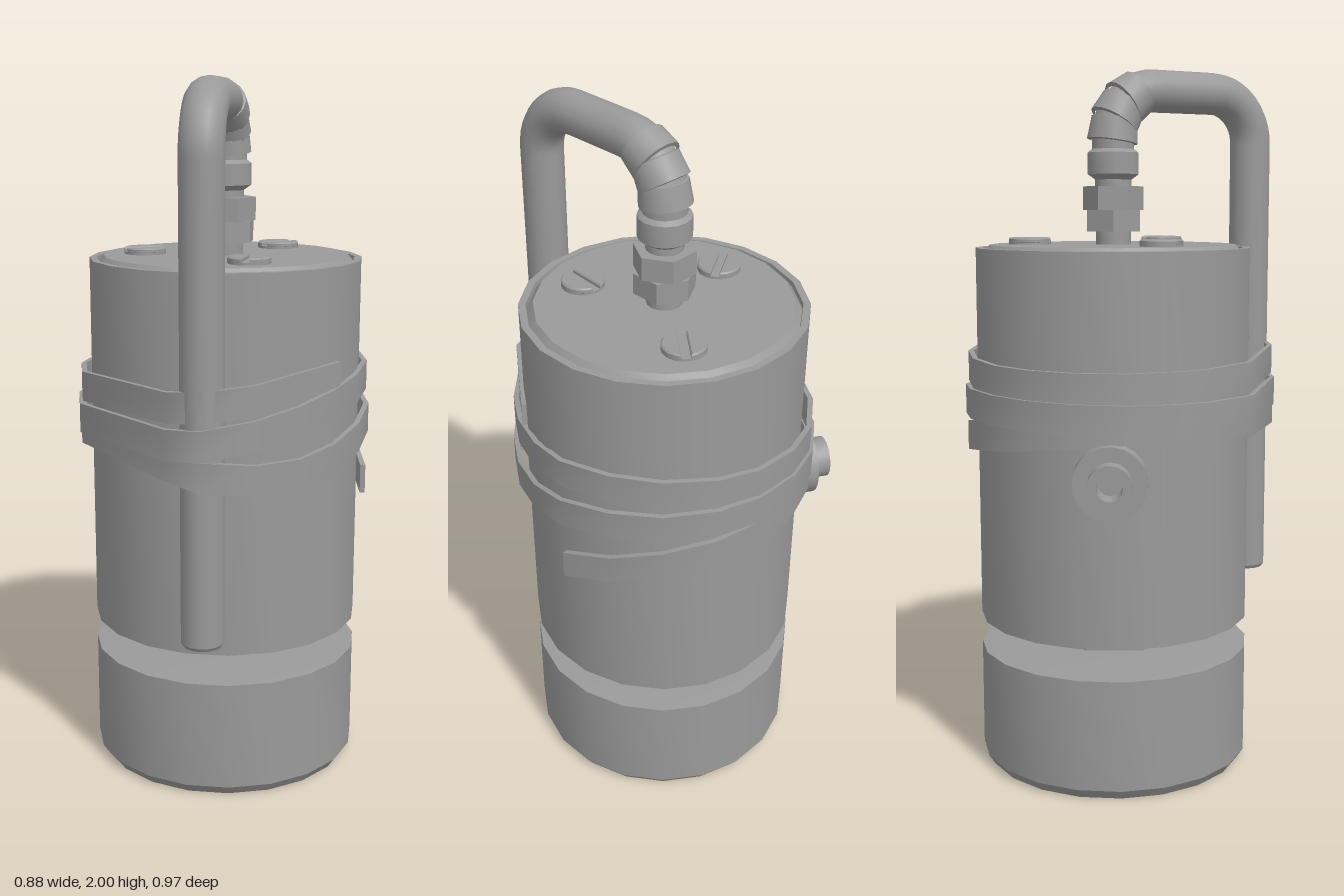
import * as THREE from 'three';
import { toCreasedNormals } from 'three/addons/utils/BufferGeometryUtils.js';

const CX = 0.017, CZ = -0.06; // axis of the canister
const smooth = new THREE.MeshStandardMaterial({ color: 0x9a9a9a });
const faceted = new THREE.MeshStandardMaterial({ color: 0x9a9a9a, flatShading: true });

function add(parent, name, geometry, material = smooth) {
  const mesh = new THREE.Mesh(geometry, material);
  mesh.name = name;
  parent.add(mesh);
  return mesh;
}

// Turned part from [radius, height] pairs listed bottom to top
function turned(profile, sides) {
  const points = profile.map(([r, y]) => new THREE.Vector2(r, y));
  return toCreasedNormals(new THREE.LatheGeometry(points, sides), 0.5);
}

// Large 20-sided turned part with flats facing front, back and sides
function turnedDrum(profile) {
  return turned(profile, 20).rotateY(Math.PI / 20);
}

// Slotted screw: a low disc carrying two raised, bevelled circle segments
function makeScrew(x, z, angle) {
  const screw = new THREE.Group();
  screw.name = 'screw';
  const r = 0.06, a = Math.asin(0.2), bevel = 0.004;
  add(screw, 'screwBase', turned([[r, 0], [r, 0.008], [0, 0.008]], 24));
  const half = new THREE.Shape();
  half.absarc(0, 0, r, a, Math.PI - a, false);
  half.closePath();
  const geo = new THREE.ExtrudeGeometry(half, {
    depth: 0.008, curveSegments: 12, bevelSize: bevel, bevelThickness: bevel, bevelOffset: -bevel, bevelSegments: 1,
  });
  geo.rotateX(-Math.PI / 2).translate(0, 0.008, 0);
  for (const turn of [0, Math.PI]) add(screw, 'screwHeadHalf', geo).rotation.y = turn;
  screw.position.set(x, 1.507, z);
  screw.rotation.y = angle;
  return screw;
}

// Flat strap wound almost three times around canister and pipe
function strapGeometry() {
  const loop = [
    [0.02, 0.485], [-0.08, 0.445], [-0.37, 0.16], [-0.41, 0], [-0.407, -0.09], [-0.37, -0.24],
    [-0.29, -0.36], [-0.18, -0.445], [-0.06, -0.485], [0.08, -0.485], [0.2, -0.445], [0.32, -0.355],
    [0.4, -0.23], [0.437, -0.08], [0.415, 0.05], [0.355, 0.19], [0.27, 0.31], [0.16, 0.42],
  ];
  const n = loop.length;
  // Heights of the strap's centre line at steps along the winding
  const steps = [-3, 0, 3, 8, 12, 18, 21, 30, 34, 36, 39, 44, 47, 49];
  const heights = [1.198, 1.17, 1.147, 1.15, 1.172, 1.07, 1.06, 1.055, 0.96, 0.985, 1.045, 1.0, 0.935, 0.845];
  const centreLine = new THREE.CubicInterpolant(steps, heights, 1, new Float32Array(1));
  const pos = [], index = [];
  let rings = 0;
  for (let s = -3; s <= 49; s++) {
    if (s === -2) continue; // the free end runs straight to the pipe
    const [x, z] = s === -3 ? [0.371, 0.148] : loop[(s + n) % n];
    const layer = [0.98, 1, 0.99][Math.max(0, Math.floor(s / n))];
    const dx = (x - CX) * layer, dz = (z + 0.03) * layer;
    const inner = 1 - 0.015 / Math.hypot(dx, dz);
    const y = centreLine.evaluate(s)[0];
    for (const [f, h] of [[1, 0.042], [1, -0.042], [inner, -0.042], [inner, 0.042]]) {
      pos.push(CX + dx * f, y + h, dz * f - 0.03);
    }
    rings++;
  }
  for (let i = 0; i < rings - 1; i++) {
    for (let k = 0; k < 4; k++) {
      const a = i * 4 + k, b = i * 4 + (k + 1) % 4;
      index.push(a, a + 4, b + 4, a, b + 4, b);
    }
  }
  const e = (rings - 1) * 4;
  index.push(0, 1, 2, 0, 2, 3, e, e + 2, e + 1, e, e + 3, e + 2);
  const geo = new THREE.BufferGeometry();
  geo.setAttribute('position', new THREE.Float32BufferAttribute(pos, 3));
  geo.setIndex(index);
  return toCreasedNormals(geo, 0.9);
}

// Hooked pipe: down into the fitting at the rear, down the front at the other end
function pipePath() {
  const v = (y, z) => new THREE.Vector3(CX, y, z);
  const k = 0.55, front = 0.413, top = 1.94, R = 0.14, r = 0.13;
  const path = new THREE.CurvePath();
  path.add(new THREE.LineCurve3(v(0.51, front), v(top - R, front)));
  path.add(new THREE.CubicBezierCurve3(v(top - R, front), v(top - R + k * R, front),
    v(top, front - R + k * R), v(top, front - R)));
  path.add(new THREE.LineCurve3(v(top, front - R), v(top, CZ + r)));
  path.add(new THREE.CubicBezierCurve3(v(top, CZ + r), v(top, CZ + r - k * r),
    v(top - r + k * r, CZ), v(top - r, CZ)));
  path.add(new THREE.LineCurve3(v(top - r, CZ), v(1.7, CZ)));
  return path;
}

export function createModel() {
  const model = new THREE.Group();
  model.name = 'canister';

  // Canister, base and the hexagonal neck between them
  const barrel = new THREE.Group();
  barrel.name = 'barrel';
  barrel.position.set(CX, 0, CZ);
  model.add(barrel);
  add(barrel, 'base', turnedDrum([[0, 0], [0.373, 0], [0.392, 0.028], [0.392, 0.342], [0.31, 0.348], [0, 0.348]]));
  add(barrel, 'neck', new THREE.CylinderGeometry(0.167, 0.167, 0.1, 6).rotateY(Math.PI / 2).translate(0, 0.39, 0), faceted);
  // The rim drops into a shallow groove around the bevelled lid
  add(barrel, 'body', turnedDrum([[0, 0.433], [0.392, 0.433], [0.392, 1.5], [0.372, 1.5], [0.37, 1.485],
    [0.352, 1.508], [0, 1.508]]));

  // Lid screws
  model.add(makeScrew(0.15, -0.26, 0.87), makeScrew(-0.215, -0.043, 0.55), makeScrew(0.11, 0.16, 1.5));

  // Threaded fitting with two nuts turned against each other
  const fitting = new THREE.Group();
  fitting.name = 'fitting';
  fitting.position.set(CX, 0, CZ);
  model.add(fitting);
  add(fitting, 'stem', turned([[0.05, 1.5], [0.05, 1.56]], 16));
  add(fitting, 'lowerNut', new THREE.CylinderGeometry(0.086, 0.086, 0.06, 6).translate(0, 1.575, 0), faceted);
  add(fitting, 'upperNut', new THREE.CylinderGeometry(0.086, 0.086, 0.066, 6).rotateY(Math.PI / 6).translate(0, 1.638, 0), faceted);
  add(fitting, 'collar', turned([[0.052, 1.67], [0.052, 1.69], [0.073, 1.705], [0.073, 1.765], [0.06, 1.775]], 16));

  // Overlapping tapered sleeves around the rear bend
  const sleeve = turned([[0.06, -0.034], [0.072, -0.032], [0.066, 0.032], [0.058, 0.034]], 16);
  for (let i = 0; i < 3; i++) {
    const t = THREE.MathUtils.degToRad(8 + i * 24);
    const part = add(model, 'elbowSleeve', sleeve);
    part.position.set(CX, 1.81 + 0.13 * Math.sin(t), 0.07 - 0.13 * Math.cos(t));
    part.rotation.x = t;
  }

  // Pipe with a softened closed end
  add(model, 'pipe', new THREE.TubeGeometry(pipePath(), 90, 0.06, 16));
  add(model, 'pipeEnd', turned([[0, 0.5], [0.054, 0.5], [0.06, 0.51]], 16)).position.set(CX, 0, 0.413);

  // Side port with a stepped collar and open bore
  const port = add(model, 'sidePort', turned([[0.1, 0.34], [0.1, 0.447], [0.06, 0.447],
    [0.06, 0.497], [0.035, 0.497], [0.035, 0.42], [0, 0.42]], 20));
  port.position.set(CX, 0.9, CZ);
  port.quaternion.setFromUnitVectors(new THREE.Vector3(0, 1, 0), new THREE.Vector3(-0.855, 0, -0.518).normalize());

  add(model, 'strap', strapGeometry());
  return model;
}
